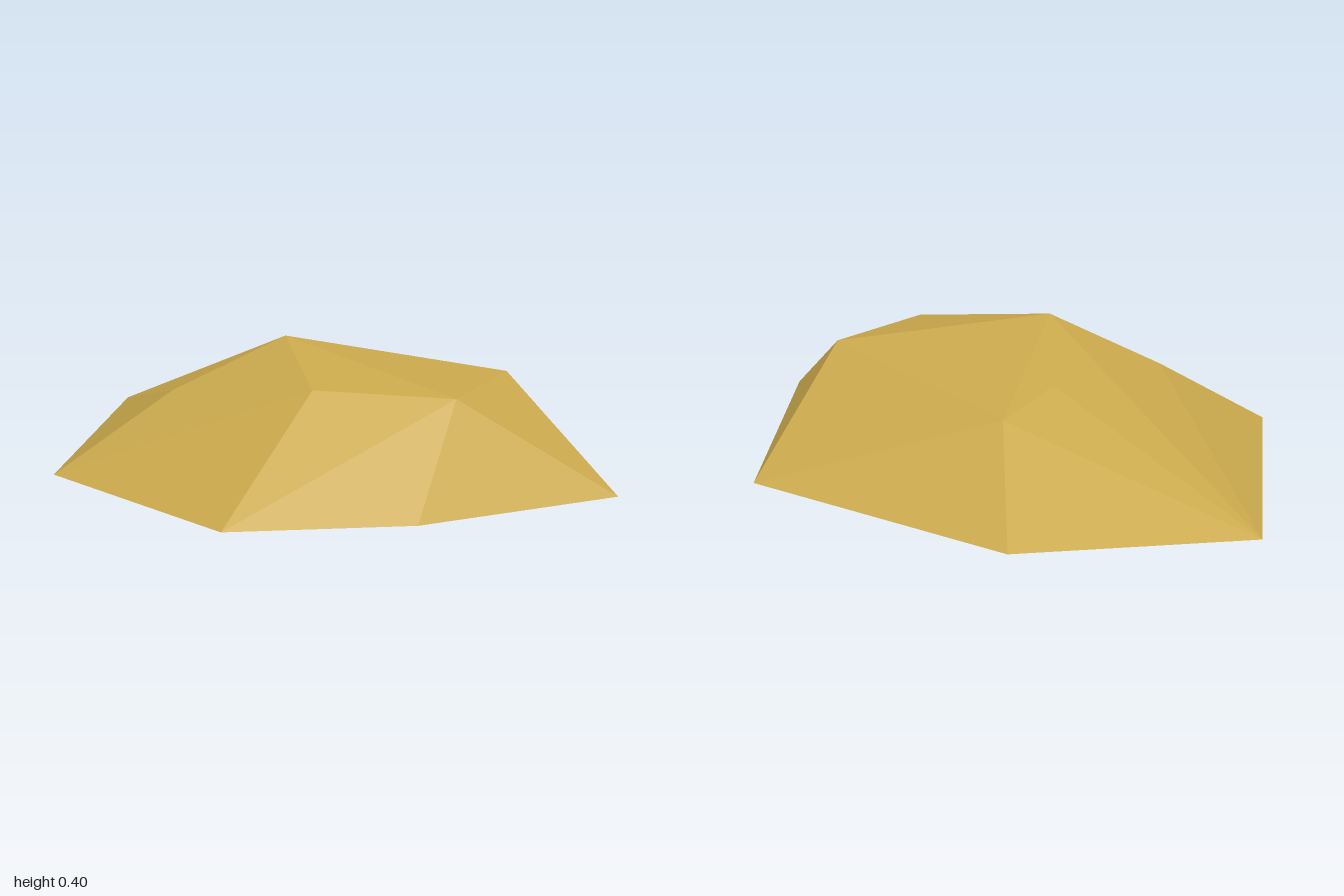
import * as THREE from 'three';
import { ConvexGeometry } from 'three/addons/geometries/ConvexGeometry.js';

const toPoints = (list) => list.map(([x, y, z]) => new THREE.Vector3(x, y, z));

export function createModel() {
  const group = new THREE.Group();
  group.name = 'lowPolyRock';

  const sandStone = new THREE.MeshStandardMaterial({ color: 0xc9a84c });
  sandStone.name = 'sandStone';

  // flat footprint on the ground, going round from the back
  const footprint = toPoints([
    [-0.48, 0, -0.8], [0.42, 0, -0.8], [1, 0, 0.03], [0.56, 0, 0.52],
    [0.1, 0, 0.8], [-0.63, 0, 0.58], [-1, 0, -0.36],
  ]);

  // shoulder corners of the faceted upper side
  const shoulder = toPoints([
    [-0.25, 0.225, -0.47], [0.57, 0.285, -0.23], [0.55, 0.285, 0.2],
    [0.16, 0.305, 0.36], [-0.38, 0.232, 0.27], [-0.29, 0.28, -0.26],
  ]);

  // highest point
  const peak = new THREE.Vector3(-0.075, 0.4, 0.075);

  // convex faceted stone with hard flat faces
  const rock = new THREE.Mesh(new ConvexGeometry([...footprint, ...shoulder, peak]), sandStone);
  rock.name = 'rock';
  group.add(rock);

  return group;
}
